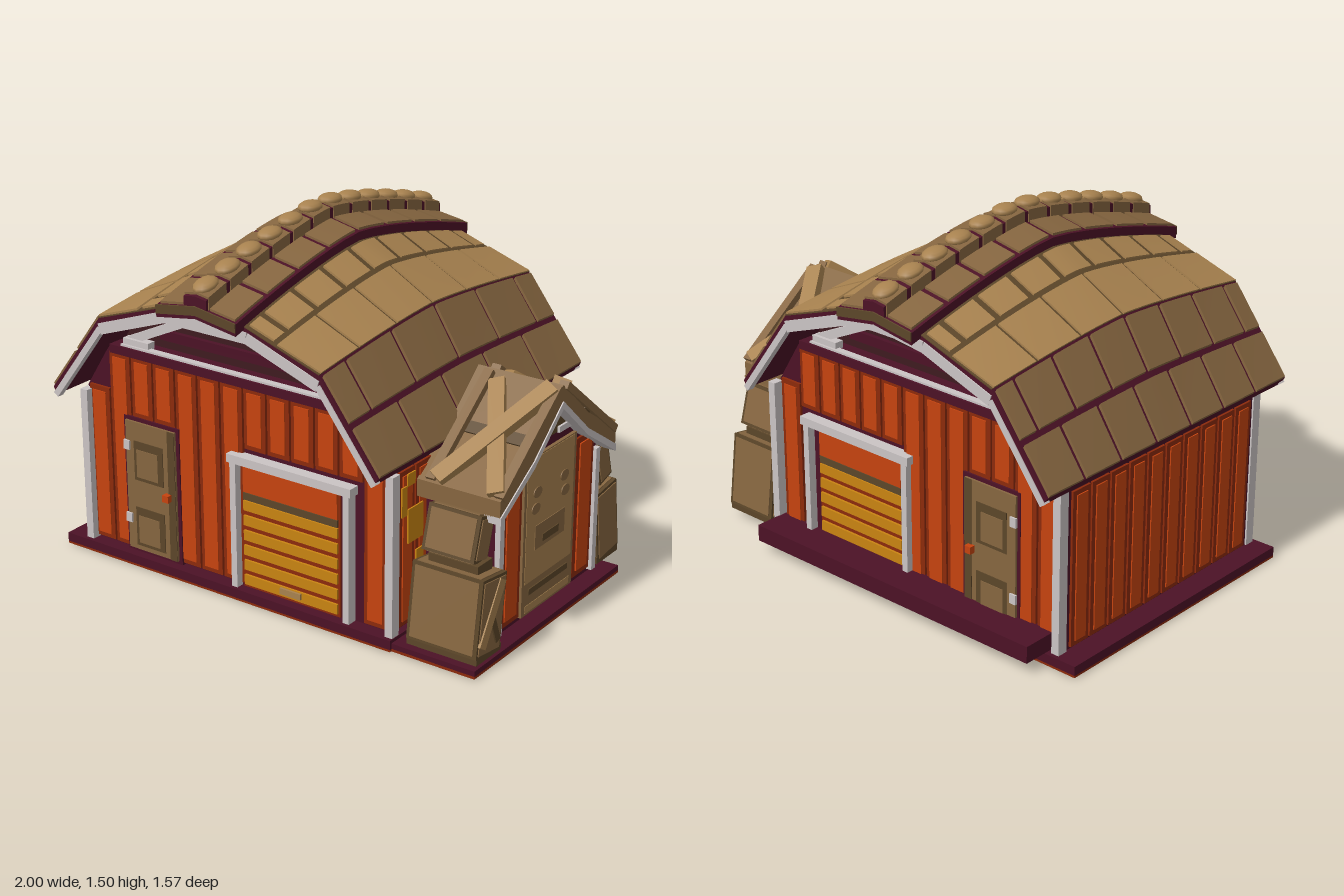
import * as THREE from 'three';
import { toCreasedNormals } from 'three/addons/utils/BufferGeometryUtils.js';

const mat = (name, color) => {
  const m = new THREE.MeshStandardMaterial({ color });
  m.name = name;
  return m;
};

export function createModel() {
  const root = new THREE.Group();
  root.name = 'barn';
  const tan = mat('tan', 0xa8824f), brown = mat('brown', 0x866640), umber = mat('umber', 0x5c4629);
  const maroon = mat('maroon', 0x4c1226), plum = mat('plum', 0x3e1b20), red = mat('darkRed', 0x8c2a0b);
  const orange = mat('orange', 0xc6430f), yellow = mat('yellow', 0xc98412), white = mat('white', 0xcbc4c4);

  const add = (name, geo, m) => {
    const mesh = new THREE.Mesh(geo, m);
    mesh.name = name;
    root.add(mesh);
    return mesh;
  };
  const box = (name, m, w, h, d, x, y, z) => {
    const b = add(name, new THREE.BoxGeometry(w, h, d), m);
    b.position.set(x, y, z);
    return b;
  };
  // bar of width w and thickness t from a to b, its broad face along the normal n
  const bar = (name, m, a, b, w, t, n) => {
    const A = new THREE.Vector3(...a), B = new THREE.Vector3(...b), N = new THREE.Vector3(...n);
    const X = B.clone().sub(A), len = X.length();
    X.normalize();
    const Y = N.clone().cross(X).normalize(), Z = X.clone().cross(Y);
    const mesh = add(name, new THREE.BoxGeometry(len, w, t), m);
    mesh.quaternion.setFromRotationMatrix(new THREE.Matrix4().makeBasis(X, Y, Z));
    mesh.position.copy(A.add(B).multiplyScalar(0.5));
  };
  const prism = (pts, depth) => new THREE.ExtrudeGeometry(
    new THREE.Shape(pts.map(p => new THREE.Vector2(...p))), { depth, bevelEnabled: false });
  const CX = -0.15;

  // bases and their undersides
  box('base', maroon, 1.63, 0.038, 1.26, -0.185, 0.031, 0);
  box('baseRim', red, 1.63, 0.009, 1.26, -0.185, 0.0075, 0);
  box('baseUnderside', tan, 1.5, 0.003, 1.12, -0.185, 0.0015, 0);
  box('annexBase', maroon, 0.37, 0.022, 1.08, 0.815, 0.025, 0.08);
  box('annexRim', red, 0.37, 0.011, 1.08, 0.815, 0.0085, 0.08);
  box('annexUnderside', tan, 0.32, 0.003, 1.0, 0.81, 0.0015, 0.08);
  box('backLedge', maroon, 1.45, 0.07, 0.16, -0.13, 0.085, -0.65);

  // main body and dark gable
  add('body', prism([[-0.9, 0.04], [0.6, 0.04], [0.6, 0.72], [0.495, 0.885], [0.47, 0.92], [-0.77, 0.92], [-0.795, 0.885],
    [-0.9, 0.72]], 1.14), maroon).position.z = -0.57;
  add('gable', prism([[-0.8, 0.88], [0.5, 0.88], [0.385, 1.045], [0.04, 1.165], [-0.34, 1.165], [-0.685, 1.045]], 0.96),
    plum).position.z = -0.48;

  // front and back faces
  for (const s of [1, -1]) {
    for (let i = 0; i < 13; i++) {
      const x = -0.83 + i * 0.1133, h = Math.abs(x - CX);
      const top = 0.895 - Math.max(0, h - 0.57) * 1.5;
      const low = (x > -0.7 && x < -0.42) || (x > -0.13 && x < 0.42) ? 0.64 : 0.06;
      box('plank', red, 0.104, top - low, 0.02, x, (top + low) / 2, 0.572 * s);
      box('plankFace', orange, 0.068, top - low - 0.04, 0.006, x, (top + low) / 2, 0.584 * s);
    }
    // small door
    box('doorFrame', maroon, 0.285, 0.59, 0.04, -0.555, 0.345, 0.57 * s);
    box('door', brown, 0.255, 0.56, 0.03, -0.556, 0.345, 0.585 * s);
    box('doorEdge', umber, 0.035, 0.56, 0.004, -0.447, 0.345, 0.601 * s);
    for (const y of [0.17, 0.46]) {
      box('doorPanel', umber, 0.15, 0.17, 0.004, -0.565, y, 0.601 * s);
      box('doorPanelFace', brown, 0.11, 0.12, 0.004, -0.57, y - 0.01, 0.604 * s);
    }
    for (const y of [0.2, 0.52]) box('hinge', white, 0.03, 0.04, 0.01, -0.675, y, 0.603 * s);
    box('knob', orange, 0.03, 0.03, 0.03, -0.465, 0.34, 0.61 * s);
    // roller door
    box('rollerBack', maroon, 0.52, 0.54, 0.02, 0.145, 0.32, 0.57 * s);
    box('rollerCurtain', red, 0.47, 0.52, 0.02, 0.135, 0.31, 0.575 * s);
    box('rollerTop', orange, 0.45, 0.105, 0.02, 0.135, 0.515, 0.585 * s);
    box('rollerGap', umber, 0.45, 0.03, 0.02, 0.135, 0.445, 0.585 * s);
    for (let i = 0; i < 6; i++) box('slat', yellow, 0.45, 0.042, 0.03, 0.135, 0.085 + i * 0.064, 0.58 * s);
    box('rollerHandle', tan, 0.1, 0.025, 0.01, 0.14, 0.09, 0.6 * s);
    for (const x of [-0.125, 0.415]) box('rollerPost', white, 0.028, 0.55, 0.05, x, 0.325, 0.59 * s);
    box('rollerLintel', white, 0.59, 0.035, 0.06, 0.145, 0.6, 0.59 * s);
    // corner posts
    for (const x of [-0.89, 0.61]) box('cornerPost', white, 0.035, 0.66, 0.045, x, 0.38, 0.59 * s);
    // roof edge boards and gable beams
    const edge = [[0.775, 0.72], [0.525, 1.05], [0.2, 1.165], [0, 1.19]];
    for (const k of [1, -1]) {
      for (let i = 0; i < 3; i++) bar('edgeBoard', white, [CX + k * edge[i][0], edge[i][1], 0.72 * s],
        [CX + k * edge[i + 1][0], edge[i + 1][1], 0.72 * s], i ? 0.045 : 0.026, 0.03, [0, 0, 1]);
      bar('gableBrace', white, [CX + k * 0.53, 0.95, 0.55 * s], [CX + k * 0.25, 1.08, 0.55 * s], 0.035, 0.03, [0, 0, 1]);
      box('braceFoot', white, 0.13, 0.03, 0.04, CX + k * 0.48, 0.95, 0.56 * s);
    }
    box('gableBeam', white, 0.56, 0.025, 0.03, CX, 1.075, 0.55 * s);
    box('gableBoard', maroon, 0.84, 0.04, 0.02, CX, 0.98, 0.49 * s);
    box('gableSill', maroon, 1.2, 0.035, 0.06, CX, 0.915, 0.57 * s);
    box('sillLine', white, 1.1, 0.009, 0.03, CX, 0.936, 0.575 * s);
  }

  // side planks
  for (const x of [-0.9, 0.6]) for (let i = 0; i < 10; i++) {
    const z = -0.495 + i * 0.11, o = Math.sign(x);
    box('sidePlank', red, 0.02, 0.64, 0.1, x, 0.38, z);
    box('sidePlankFace', orange, 0.006, 0.6, 0.06, x + o * 0.012, 0.38, z);
  }
  for (const [y, h, z, w] of [[0.47, 0.14, 0.45, 0.1], [0.58, 0.12, 0.525, 0.035], [0.66, 0.05, 0.48, 0.05], [0.33, 0.05, 0.42, 0.05]])
    box('wornPatch', yellow, 0.006, h, w, 0.618, y, z);

  // arched roof: point at profile step v (0 eave, 1 knee, 2 cap edge, 3 ridge), raised by lift
  const P = [[0.79, 0.75, 0.75], [0.53, 1.09, 1.16], [0.19, 1.2, 1.35], [0, 1.23, 1.39]];
  const roofAt = (k, v, z, lift) => {
    const i = Math.min(2, Math.floor(v)), f = v - i;
    const [h, end, mid] = P[i].map((a, j) => a + (P[i + 1][j] - a) * f);
    const y = mid + (end - mid) * Math.pow(Math.abs(z) / 0.75, 1.4);
    const n = v >= 2 ? 0 : 0.5;
    return [CX + k * (h + n * lift), y + 0.85 * lift, z];
  };
  const slab = (name, m, k, vs, z0, z1, lo, hi, nz = 4) => {
    const pos = [], idx = [], V = vs.length, R = 2 * V;
    for (let j = 0; j <= nz; j++) {
      const z = z0 + (z1 - z0) * j / nz;
      for (const lift of [hi, lo]) for (const v of vs) pos.push(...roofAt(k, v, z, lift));
    }
    const quad = (a, b, c, d) => k < 0 ? idx.push(a, b, c, a, c, d) : idx.push(a, c, b, a, d, c);
    for (let j = 0; j < nz; j++) {
      const a = j * R, b = a + R;
      for (let i = 0; i < V - 1; i++) {
        quad(a + i, b + i, b + i + 1, a + i + 1);
        quad(a + V + i, a + V + i + 1, b + V + i + 1, b + V + i);
      }
      quad(a, a + V, b + V, b);
      quad(a + V - 1, b + V - 1, b + R - 1, a + R - 1);
    }
    for (let i = 0; i < V - 1; i++) {
      const e = nz * R;
      quad(i, i + 1, V + i + 1, V + i);
      quad(e + i, e + V + i, e + V + i + 1, e + i + 1);
    }
    const g = new THREE.BufferGeometry();
    g.setAttribute('position', new THREE.Float32BufferAttribute(pos, 3));
    g.setIndex(idx);
    add(name, toCreasedNormals(g, 0.5), m);
  };
  const tiles = (name, m, k, v0, v1, n, shift, half, lo, hi, gap) => {
    const w = 2 * half / n;
    for (let i = 0; i <= n; i++) {
      const a = Math.max(-half, -half + (i - shift) * w), b = Math.min(half, -half + (i + 1 - shift) * w);
      if (b - a > 0.03) slab(name, m, k, [v0, (v0 + v1) / 2, v1], a + gap, b - gap, lo, hi);
    }
  };
  for (const k of [1, -1]) {
    slab('roofShell', maroon, k, [0, 1, 2, 3], -0.73, 0.73, -0.035, 0, 16);
    slab('roofJoints', umber, k, [1, 1.5, 2], -0.73, 0.73, 0, 0.004, 16);
    tiles('lowerTile', brown, k, 0.0, 0.46, k > 0 ? 5 : 7, 0, 0.73, 0, 0.014, 0.011);
    tiles('middleTile', brown, k, 0.52, 0.97, k > 0 ? 5 : 7, 0.5, 0.73, 0, 0.014, 0.011);
    tiles('upperTile', tan, k, 1.0, 1.58, 6, 0, 0.73, 0.002, 0.012, 0.008);
    tiles('topTile', tan, k, 1.64, 1.97, 8, 0.5, 0.73, 0.002, 0.012, 0.016);
    slab('ridgeCap', maroon, k, [2, 3], -0.78, 0.78, -0.01, 0.045, 16);
    for (const s of [-0.784, 0.78]) slab('capEnd', umber, k, [2, 3], s, s + 0.004, 0.008, 0.05, 1);
    tiles('capTile', brown, k, 2.06, 2.68, 8, 0, 0.78, 0.04, 0.056, 0.013);
    slab('ridgeBeam', maroon, k, [2.72, 3], -0.78, 0.78, 0.04, 0.095, 16);
    tiles('ridgeBlock', brown, k, 2.7, 3, 12, 0, 0.78, 0.045, 0.105, 0.012);
  }
  // ridge stones
  for (let i = 0; i < 12; i++) {
    const z = -0.715 + i * 0.13, [x, y] = roofAt(1, 3, z, 0.105);
    const knob = add('ridgeStone', new THREE.SphereGeometry(1, 12, 8), tan);
    knob.scale.set(0.045, 0.024, 0.058);
    knob.position.set(x, y, z);
    knob.rotation.x = 0.25 * z / 0.7;
  }

  // annex walls, door and posts
  const along = (name, pts, x, depth, m) => {
    const mesh = add(name, prism(pts, depth).rotateY(Math.PI / 2), m);
    mesh.position.x = x;
  };
  along('annexBody', [[-0.37, 0.03], [0.37, 0.03], [0.37, 0.6], [0.18, 0.75], [0, 0.88], [-0.18, 0.75], [-0.37, 0.6]], 0.6, 0.32, maroon);
  along('annexGable', [[-0.16, 0.74], [0.16, 0.74], [0, 0.87]], 0.915, 0.01, umber);
  box('annexDoor', brown, 0.03, 0.65, 0.38, 0.92, 0.375, 0);
  box('annexDoorFace', tan, 0.006, 0.51, 0.345, 0.934, 0.44, 0);
  for (const z of [0.1, -0.1]) box('annexLintel', white, 0.02, 0.025, 0.09, 0.925, 0.75, z);
  box('doorPlate', brown, 0.006, 0.1, 0.22, 0.937, 0.36, 0);
  box('doorSlot', umber, 0.006, 0.03, 0.12, 0.941, 0.345, 0);
  box('doorFoot', tan, 0.006, 0.03, 0.33, 0.934, 0.075, 0);
  box('doorFootLine', umber, 0.006, 0.025, 0.29, 0.937, 0.145, 0);
  for (const s of [1, -1]) {
    for (const [y, z] of [[0.485, 0.11], [0.55, 0.1]]) {
      const spot = add('doorSpot', new THREE.CylinderGeometry(0.03, 0.03, 0.006, 12).rotateZ(Math.PI / 2), brown);
      spot.position.set(0.938, y, z * s);
      spot.scale.y = 0.75;
    }
    box('annexPlank', red, 0.02, 0.6, 0.135, 0.92, 0.36, 0.268 * s);
    box('annexPlankFace', orange, 0.006, 0.55, 0.085, 0.933, 0.36, 0.268 * s);
    box('annexPost', white, 0.035, 0.53, 0.03, 0.925, 0.31, 0.355 * s);
    box('annexSidePlank', orange, 0.08, 0.52, 0.02, 0.77, 0.31, 0.37 * s);
    // annex roof slope, edge board and crossed boards
    const line = o => [[0, 0.96 - o], [0.2, 0.785 - o], [0.43, 0.64 - o]].map(([z, y]) => [z * s, y]);
    const strip = (a, b) => [...line(b), ...line(a).reverse()];
    along('annexRoof', strip(0, 0.07), 0.6, 0.375, brown);
    along('annexEdgeBoard', strip(0.065, 0.095), 0.9, 0.08, white);
    const n = [0, 0.79, 0.61 * s];
    bar('roofSeam', umber, [0.66, 0.79, 0.2 * s], [0.97, 0.79, 0.2 * s], 0.05, 0.012, n);
    bar('crossBoard', tan, [0.69, 0.655, 0.42 * s], [0.95, 0.955, 0.03 * s], 0.07, 0.04, n);
    bar('crossBoard', tan, [0.95, 0.66, 0.42 * s], [0.71, 0.935, 0.04 * s], 0.065, 0.03, n);
    for (const x of [0.665, 0.965]) bar('sideBoard', brown, [x, 0.645, 0.42 * s], [x, 0.955, 0.02 * s], 0.04, 0.03, n);
  }

  // leaning stone stacks: a dark core with lighter faces standing slightly proud
  const stone = (name, w, h, d, x, y, z, tilt) => {
    const layers = [[umber, 0, 0, 0], [brown, 0.008, -0.025, -0.02], [brown, -0.03, -0.025, 0.008], [brown, -0.03, 0.008, -0.02]];
    for (const [m, a, b, c] of layers) box(name, m, w + a, h + b, d + c, x, y, z).rotation.x = tilt;
  };
  for (const s of [1, -1]) {
    const x = s > 0 ? 0.83 : 0.8, w = s > 0 ? 0.31 : 0.25;
    stone('lowerStone', w, 0.31, 0.165, x, 0.205, 0.487 * s, -0.13 * s);
    stone('upperStone', 0.23, 0.18, 0.095, 0.805, 0.48, 0.445 * s, -0.28 * s);
    box('stoneGap', umber, w * 0.7, 0.06, 0.1, x, 0.37, 0.465 * s);
    box('stoneFoot', umber, w, 0.03, 0.17, x, 0.05, 0.5 * s);
  }
  bar('stoneBrace', tan, [0.99, 0.1, 0.56], [0.987, 0.33, 0.42], 0.045, 0.012, [1, 0, 0]);
  bar('stoneBrace', umber, [0.99, 0.09, 0.45], [0.988, 0.2, 0.49], 0.03, 0.012, [1, 0, 0]);
  return root;
}
